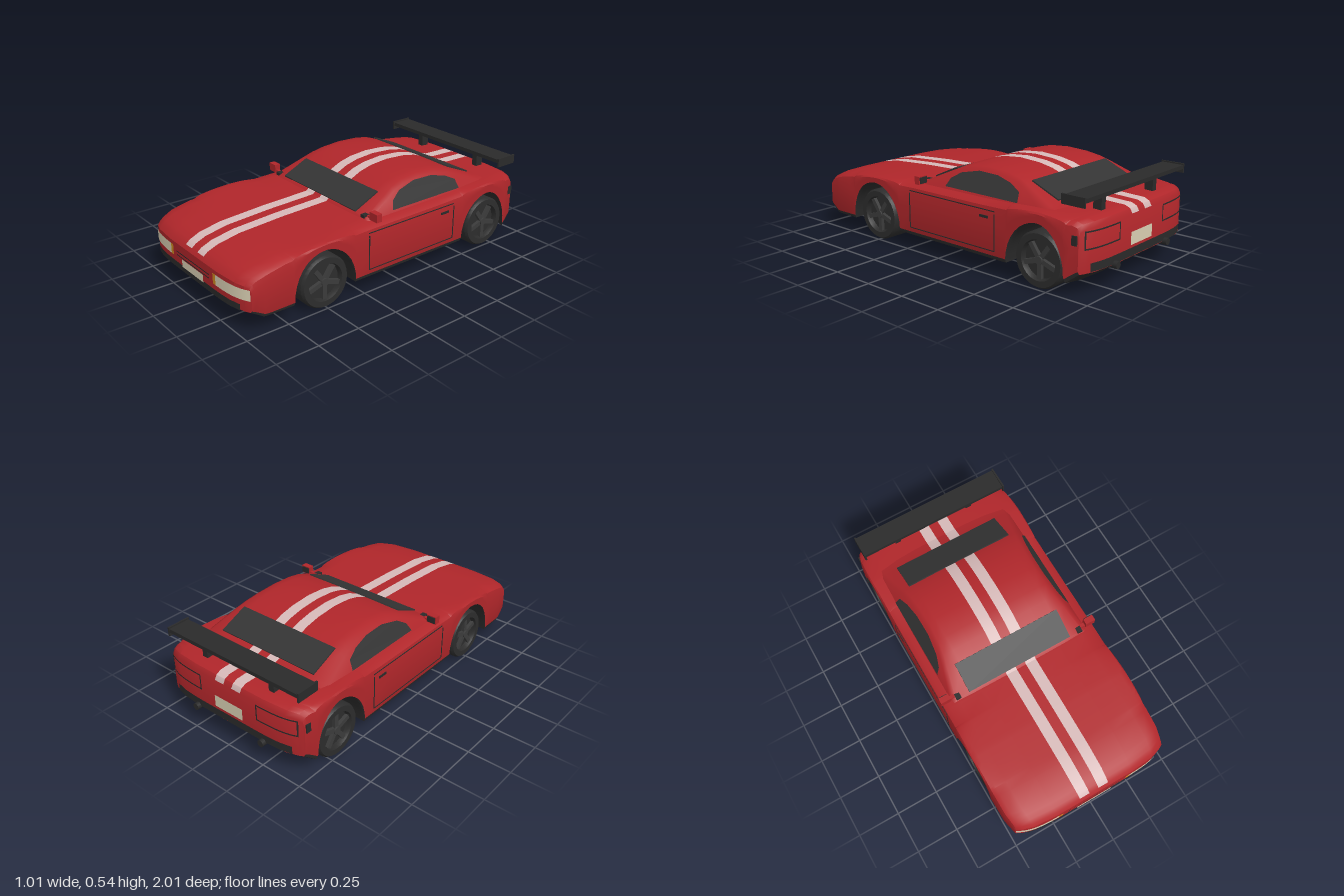
import * as THREE from 'three';
import { toCreasedNormals } from 'three/addons/utils/BufferGeometryUtils.js';

const mat = (name, color, side = THREE.FrontSide) => {
  const m = new THREE.MeshStandardMaterial({ color, side });
  m.name = name;
  return m;
};

// Piecewise linear lookup in a table sorted by falling z
function lookup(table, z) {
  for (let i = 1; i < table.length; i++) {
    const [z0, v0] = table[i - 1], [z1, v1] = table[i];
    if (z >= z1) return v0 + (v1 - v0) * Math.min(1, Math.max(0, (z0 - z) / (z0 - z1)));
  }
  return table[table.length - 1][1];
}

// Skins mirrored half sections (upper and lower sheet, centre to side) from front to rear
function loft(zs, section, materialOf) {
  const pos = [], groups = [[], [], []];
  let cols = 0;
  for (const z of zs) {
    for (const half of section(z)) {
      const row = [...half.slice(1).reverse().map(([x, y, pz]) => [-x, y, pz]), ...half];
      cols = row.length;
      row.forEach(p => pos.push(...p));
    }
  }
  const quad = (g, a, b, c, d) => groups[g].push(a, b, c, a, c, d);
  const at = (i, sheet, j) => (i * 2 + sheet) * cols + j;
  const mid = (cols - 1) / 2, last = zs.length - 1;
  for (let j = 0; j < cols - 1; j++) {
    const col = j < mid ? mid - 1 - j : j - mid;
    for (let i = 0; i < last; i++) {
      quad(materialOf(0, col, zs[i]), at(i, 0, j), at(i, 0, j + 1), at(i + 1, 0, j + 1), at(i + 1, 0, j));
      quad(materialOf(1, col, zs[i]), at(i, 1, j), at(i + 1, 1, j), at(i + 1, 1, j + 1), at(i, 1, j + 1));
    }
    quad(0, at(0, 0, j), at(0, 1, j), at(0, 1, j + 1), at(0, 0, j + 1));
    quad(0, at(last, 0, j), at(last, 0, j + 1), at(last, 1, j + 1), at(last, 1, j));
  }
  const g = new THREE.BufferGeometry();
  g.setAttribute('position', new THREE.Float32BufferAttribute(pos, 3));
  g.setIndex(groups.flat());
  let start = 0;
  groups.forEach((list, k) => { g.addGroup(start, list.length, k); start += list.length; });
  return toCreasedNormals(g, 0.6);
}

export function createModel() {
  const car = new THREE.Group();
  car.name = 'sportsCar';
  const red = mat('red paint', 0xb0262a), stripe = mat('pale stripe', 0xd6b9b8);
  const black = mat('black trim', 0x2a2a2a, THREE.DoubleSide), glass = mat('dark glass', 0x343434, THREE.DoubleSide);
  const cream = mat('cream lamp', 0xd9cfb2), amber = mat('amber lamp', 0xd08a20);
  const tyreMat = mat('tyre', 0x2c2c2c), rimMat = mat('rim', 0x3b3b3b);

  const add = (name, geo, material, x = 0, y = 0, z = 0, parent = car) => {
    const m = new THREE.Mesh(geo, material);
    m.name = name;
    m.position.set(x, y, z);
    parent.add(m);
    return m;
  };
  const box = (name, w, h, d, material, x, y, z, parent) =>
    add(name, new THREE.BoxGeometry(w, h, d), material, x, y, z, parent);

  // Lower body with wheel arches cut across the full width
  const axles = [0.515, -0.69], archHalf = 0.205;
  const tops = [[1, .275], [.985, .295], [.96, .315], [.9, .34], [.77, .365], [.5, .382], [.2, .392],
    [-.3, .395], [-.7, .405], [-.93, .398], [-.96, .385], [-.975, .36]];
  const floors = [[1, .13], [.93, .09], [-.48, .09], [-.9, .075], [-.975, .13]];
  const widths = [[1, .48], [.9, .497], [.75, .5], [-.8, .5], [-.9, .497], [-.975, .48]];
  const upper = [[0, 1], [.06, 1], [.19, 1], [.5, .995], [.8, .98], [.93, .93], [.985, .8], [1, .5], [1, 0]];
  const lower = [[0, 0], [.06, 0], [.19, 0], [.5, 0], [.8, 0], [.93, 0], [.985, 0], [1, .12], [1, 1]];
  const stations = [...tops.map(t => t[0]), .93, -.9];
  for (const c of axles)
    for (let k = 0; k <= 16; k++) stations.push(c + archHalf * Math.cos(k * Math.PI / 16));
  stations.sort((a, b) => b - a);
  const bodySection = z => {
    let bottom = lookup(floors, z);
    for (const c of axles) {
      const u = (z - c) / archHalf;
      if (Math.abs(u) < 1) bottom = Math.max(bottom, .085 + .255 * Math.sqrt(1 - u * u));
    }
    const top = lookup(tops, z), w = lookup(widths, z), middle = bottom + .55 * (top - bottom);
    const pull = Math.sign(z) * .05 * THREE.MathUtils.smoothstep(Math.abs(z), .6, .975);
    const place = (f, y) => [f * w, y, z - pull * f ** 6];
    return [upper.map(([f, h]) => place(f, middle + h * (top - middle))),
      lower.map(([f, h]) => place(f, bottom + h * (middle - bottom)))];
  };
  add('body', loft(stations, bodySection, (sheet, col, z) =>
    sheet ? (col < 7 ? 2 : 0) : (col === 1 && z < .99 ? 1 : 0)), [red, stripe, black]);

  // Cabin
  const roof = [[.2, .387], [.18, .405], [.02, .478], [-.05, .51], [-.13, .53], [-.25, .54], [-.38, .532],
    [-.47, .515], [-.52, .497], [-.69, .425], [-.76, .403], [-.84, .388]];
  const sideX = y => .44 - .55 * (y - .385);
  const cabinSection = z => {
    const t = lookup(roof, z), edge = Math.max(.372, t - .025), e = sideX(edge);
    const top = [[0, t], [.03, t], [.095, t], [.2, t - .001], [.3, t - .003], [e - .025, t - .009], [e, edge], [.45, .367]];
    return [top.map(([x, y]) => [x, y, z]), top.map(([x]) => [x, .367, z])];
  };
  add('cabin', loft(roof.map(r => r[0]), cabinSection, (sheet, col) => (!sheet && col === 1 ? 1 : 0)),
    [red, stripe, black]);

  // Front and rear windows
  const slopedGlass = (name, z0, y0, z1, y1) => {
    const dz = z1 - z0, dy = y1 - y0;
    const m = box(name, .66, .008, Math.hypot(dz, dy), glass, 0, (y0 + y1) / 2 + .002, (z0 + z1) / 2);
    m.rotation.x = -Math.atan2(dy, dz);
  };
  slopedGlass('rearWindow', -.69, .425, -.52, .497);
  slopedGlass('windshield', .02, .478, .18, .405);

  // Side windows
  const outline = [[0, .4], [-.02, .445], [-.08, .482], [-.2, .508], [-.33, .505], [-.43, .483], [-.5, .45], [-.51, .4]];
  for (const s of [1, -1]) {
    const g = new THREE.ShapeGeometry(new THREE.Shape(outline.map(p => new THREE.Vector2(...p))));
    const p = g.attributes.position;
    for (let i = 0; i < p.count; i++) {
      const z = p.getX(i), y = p.getY(i);
      p.setXYZ(i, s * (sideX(y) + .005), y, z);
    }
    g.computeVertexNormals();
    add(s > 0 ? 'leftWindow' : 'rightWindow', g, glass);
  }

  // Thin plates that follow the curved bumpers
  const wrap = (name, x0, x1, y0, y1, material, rear = false, lift = .004) => {
    const g = new THREE.PlaneGeometry(x1 - x0, y1 - y0, 12, 1);
    if (rear) g.rotateY(Math.PI);
    g.translate((x0 + x1) / 2, (y0 + y1) / 2, 0);
    const p = g.attributes.position, end = rear ? .975 : 1;
    for (let i = 0; i < p.count; i++)
      p.setZ(i, (rear ? -1 : 1) * (end + lift - .05 * (Math.abs(p.getX(i)) / .48) ** 6));
    g.computeVertexNormals();
    add(name, g, material);
  };
  wrap('frontGrille', -.42, .42, .13, .165, black);
  wrap('frontPlate', -.11, .11, .16, .205, cream, false, .007);
  for (const y of [.209, .23]) wrap('noseSlot', -.17, .17, y - .003, y + .003, black);
  wrap('rearBumperStrip', -.42, .42, .135, .18, black, true);
  wrap('rearPlate', -.1, .1, .195, .265, cream, true);
  for (const s of [1, -1]) {
    const span = (name, a, b, ...rest) => wrap(name, Math.min(s * a, s * b), Math.max(s * a, s * b), ...rest);
    span('headlight', .23, .478, .195, .256, cream);
    span('indicator', .205, .23, .195, .256, amber);
    for (const y of [.25, .338]) span('tailLightFrame', .2, .455, y, y + .008, black, true);
    for (const x of [.2, .447]) span('tailLightFrame', x, x + .008, .25, .346, black, true);
  }

  // Rear wing
  const wing = new THREE.Group();
  wing.name = 'rearWing';
  car.add(wing);
  box('blade', .92, .022, .13, black, 0, .495, -.88, wing);
  for (const s of [1, -1]) {
    box('endPlate', .01, .052, .138, black, s * .463, .488, -.878, wing);
    box('strut', .035, .1, .05, black, s * .24, .438, -.875, wing);
  }

  // Door seams, handles, mirrors and exhausts on both sides
  for (const s of [1, -1]) {
    box('doorSeam', .006, .2, .006, black, s * .499, .235, .22);
    box('doorSeam', .006, .2, .006, black, s * .499, .235, -.41);
    box('doorSeam', .006, .005, .63, black, s * .499, .135, -.095);
    box('beltSeam', .006, .005, .63, black, s * .495, .348, -.095);
    box('doorHandle', .009, .014, .06, black, s * .499, .312, -.34);
    box('sideMarker', .008, .05, .03, black, s * .486, .3, -.905);
    box('mirrorHousing', .06, .046, .035, red, s * .472, .417, .155);
    box('mirrorFace', .05, .036, .006, black, s * .472, .417, .136);
    box('mirrorArm', .08, .012, .02, red, s * .43, .402, .155);
    box('mirrorBase', .03, .02, .05, black, s * .397, .4, .16);
    const pipe = new THREE.CylinderGeometry(.02, .02, .08, 16);
    pipe.rotateX(Math.PI / 2);
    add('exhaust', pipe, black, s * .24, .132, -.96);
  }

  // Wheels: rounded tyre, recessed rim, five spokes, hub
  const tyre = [[.1, -.085], [.14, -.085], [.15, -.07], [.15, .07], [.14, .085], [.108, .085], [.1, .065], [.1, -.085]];
  const tyreGeo = toCreasedNormals(new THREE.LatheGeometry(tyre.map(p => new THREE.Vector2(...p)), 32), .6);
  for (const z of [.505, -.69]) for (const s of [1, -1]) {
    const wheel = new THREE.Group();
    wheel.name = (z > 0 ? 'front' : 'rear') + (s > 0 ? 'Left' : 'Right') + 'Wheel';
    wheel.position.set(s * .405, .15, z);
    wheel.rotation.z = -s * Math.PI / 2;
    car.add(wheel);
    add('tyre', tyreGeo, tyreMat, 0, 0, 0, wheel);
    add('rimDisc', new THREE.CylinderGeometry(.101, .101, .02, 32), tyreMat, 0, .045, 0, wheel);
    add('hub', new THREE.CylinderGeometry(.022, .025, .03, 16), rimMat, 0, .067, 0, wheel);
    for (let k = 0; k < 5; k++) {
      const a = k * Math.PI * 2 / 5;
      const spoke = box('spoke', .088, .02, .026, rimMat, .057 * Math.cos(a), .065, -.057 * Math.sin(a), wheel);
      spoke.rotation.y = a;
    }
  }
  return car;
}
